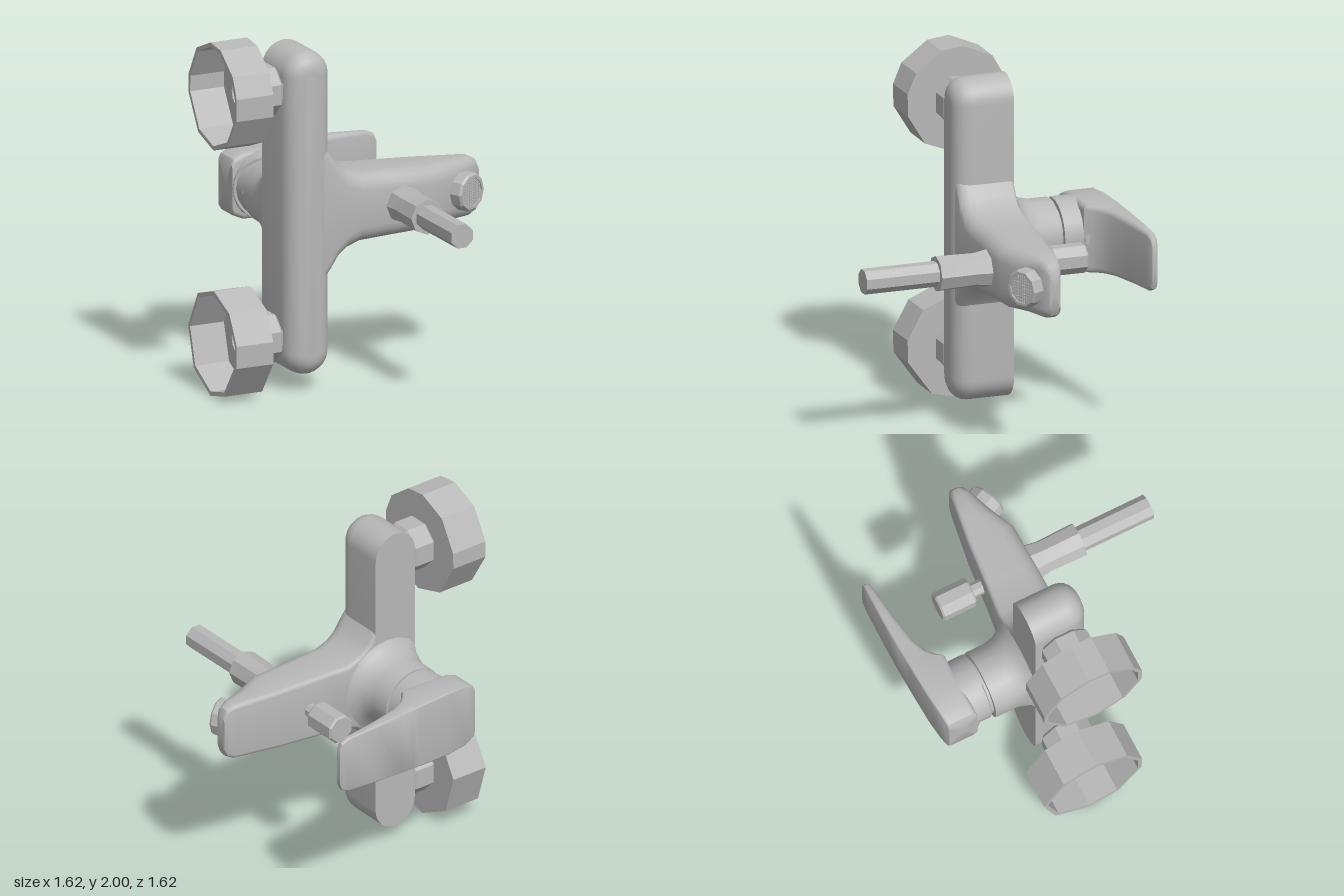
import * as THREE from 'three';
import { toCreasedNormals } from 'three/addons/utils/BufferGeometryUtils.js';

const chrome = new THREE.MeshStandardMaterial({ color: 0xb8b8b8 });
chrome.name = 'chrome';

function part(name, geo, crease = 0.6) {
  const m = new THREE.Mesh(toCreasedNormals(geo, crease), chrome);
  m.name = name;
  return m;
}

// Turned solid along z (or x): profile is [radius, position], ascending position
function turned(profile, sides, axis, phase = 0) {
  const g = new THREE.LatheGeometry(profile.map(([r, t]) => new THREE.Vector2(r, t)), sides, phase);
  return axis === 'x' ? g.rotateZ(-Math.PI / 2) : g.rotateX(Math.PI / 2);
}

// Moves every vertex by a rule
function warp(geo, rule) {
  const p = geo.attributes.position, v = new THREE.Vector3();
  for (let i = 0; i < p.count; i++) {
    rule(v.fromBufferAttribute(p, i));
    p.setXYZ(i, v.x, v.y, v.z);
  }
  return geo;
}

// Loft along x through rounded rectangles: [x, half height, back z, front z]
function loft(sections, rFront, rBack, yc = 1, steps = 4) {
  const pos = [], idx = [], n = 4 * (steps + 1);
  for (const [x, h, zb, zf] of sections) {
    const lim = Math.min(h, (zf - zb) / 2) * 0.95;
    for (let c = 0; c < 4; c++) {
      const front = c < 2, r = Math.min(lim, front ? rFront : rBack);
      const cy = (c === 0 || c === 3 ? 1 : -1) * (h - r);
      const cz = front ? zf - r : zb + r;
      for (let k = 0; k <= steps; k++) {
        const a = (c + k / steps) * Math.PI / 2;
        pos.push(x, yc + cy + r * Math.cos(a), cz + r * Math.sin(a));
      }
    }
  }
  const last = sections.length - 1;
  for (let s = 0; s < last; s++) {
    for (let i = 0; i < n; i++) {
      const a = s * n + i, b = s * n + (i + 1) % n;
      idx.push(a, b, b + n, a, b + n, a + n);
    }
  }
  // End caps
  for (const s of [0, last]) {
    const [x, , zb, zf] = sections[s], centre = pos.length / 3;
    pos.push(x, yc, (zb + zf) / 2);
    for (let i = 0; i < n; i++) {
      const a = s * n + i, b = s * n + (i + 1) % n;
      if (s === 0) idx.push(centre, b, a);
      else idx.push(centre, a, b);
    }
  }
  const g = new THREE.BufferGeometry();
  g.setAttribute('position', new THREE.Float32BufferAttribute(pos, 3));
  g.setIndex(idx);
  return g;
}

// Upright column with a rounded front and a flat back
function columnGeometry() {
  const s = new THREE.Shape(), r = 0.135, x = -0.295;
  s.absarc(x, 1.92 - r, r, 0, Math.PI, false);
  s.absarc(x, 0.09 + r, r, Math.PI, 2 * Math.PI, false);
  const g = new THREE.ExtrudeGeometry(s, {
    depth: 0.235, bevelThickness: 0.1, bevelSize: 0.1, bevelOffset: -0.1, bevelSegments: 5, curveSegments: 8,
  });
  return warp(g, v => { v.z = Math.max(v.z, 0) - 0.235; });
}

// Faceted cover cup, open towards the wall
function rosette(name, y, angles) {
  const ring = r => angles.map(a => {
    const t = a * Math.PI / 180;
    return new THREE.Vector2(-r * Math.cos(t), r * Math.sin(t));
  }).reverse();
  const slab = (r, hole, depth, x) => {
    const s = new THREE.Shape(ring(r));
    s.holes.push(new THREE.Path(ring(hole)));
    return new THREE.ExtrudeGeometry(s, { depth, bevelEnabled: false }).rotateY(Math.PI / 2).translate(x, 0, 0);
  };
  const g = new THREE.Group();
  g.name = name;
  g.add(part('coverWall', slab(0.302, 0.278, 0.205, -0.81), 0.3));
  g.add(part('coverPlate', slab(0.302, 0.08, 0.018, -0.605), 0.3));
  g.add(part('unionNut', turned([[0, -0.6], [0.13, -0.6], [0.147, -0.575], [0.147, -0.46], [0.125, -0.442], [0.1, -0.44], [0.1, -0.4], [0, -0.4]], 8, 'x', Math.PI / 8), 0.3));
  g.add(part('inletPipe', turned([[0.07, -0.6], [0.07, -0.66], [0.1, -0.66], [0.1, -0.6]], 12, 'x')));
  g.position.set(0, y, -0.075);
  return g;
}

// Aerator with a recessed outlet and a fine grille, pointing along z
function aerator() {
  const g = new THREE.Group();
  g.name = 'aerator';
  g.add(part('aeratorBody', turned([[0, -0.06], [0.108, -0.06], [0.108, 0.05], [0.098, 0.062], [0.082, 0.062], [0.082, 0.052], [0, 0.052]], 10, 'z', 0.3), 0.4));
  for (let i = -4; i <= 4; i++) {
    const d = i * 0.016, len = 2 * Math.sqrt(0.078 ** 2 - d * d);
    g.add(part('grilleBar', new THREE.BoxGeometry(len, 0.006, 0.006).translate(0, d, 0.054)));
    g.add(part('grilleBar', new THREE.BoxGeometry(0.006, len, 0.006).translate(d, 0, 0.054)));
  }
  g.position.set(0.677, 1, 0);
  g.rotation.y = Math.atan2(0.43, 0.9);
  return g;
}

export function createModel() {
  const model = new THREE.Group();
  model.name = 'bathMixer';
  model.add(part('column', columnGeometry()));

  // Spout flares out of the column and is cut obliquely at the tip
  model.add(part('spout', loft([
    [-0.27, 0.49, -0.234, 0.085], [-0.21, 0.41, -0.234, 0.088], [-0.16, 0.34, -0.235, 0.092],
    [-0.12, 0.275, -0.235, 0.095], [-0.06, 0.225, -0.235, 0.095], [0.02, 0.195, -0.235, 0.095],
    [0.2, 0.187, -0.215, 0.093], [0.46, 0.178, -0.19, 0.088], [0.6, 0.172, -0.17, 0.025],
    [0.74, 0.167, -0.15, -0.035], [0.785, 0.145, -0.142, -0.055], [0.806, 0.105, -0.135, -0.075],
  ], 0.09, 0.025)));
  model.add(aerator());

  // Cartridge housing flares into the back of the column
  const housing = turned([[0, -0.475], [0.193, -0.475], [0.195, -0.465], [0.195, -0.36], [0.21, -0.3], [0.24, -0.255], [0.29, -0.225], [0, -0.2]], 24, 'z').translate(-0.24, 1, 0);
  model.add(part('cartridgeHousing', warp(housing, v => { v.x = Math.max(v.x, -0.429); })));
  const collar = turned([[0, -0.65], [0.18, -0.65], [0.18, -0.497], [0.165, -0.49], [0.165, -0.46], [0, -0.46]], 20, 'z').translate(-0.24, 1, 0);
  model.add(part('handleCollar', collar));

  // Handle: round base with a slanted lower edge, and a long tapering lever
  const base = turned([[0, -0.755], [0.194, -0.755], [0.194, -0.49], [0, -0.49]], 24, 'z').translate(-0.24, 1, 0);
  model.add(part('handleBase', warp(base, v => {
    if (v.z > -0.6) v.z = Math.min(v.z, -0.49 + Math.min(0, v.x + 0.29) * 0.65);
  })));
  model.add(part('lever', loft([
    [-0.435, 0.135, -0.763, -0.59], [-0.42, 0.16, -0.768, -0.59], [-0.36, 0.187, -0.777, -0.595],
    [-0.24, 0.195, -0.79, -0.6], [-0.05, 0.192, -0.8, -0.6], [-0.025, 0.19, -0.801, -0.635],
    [0.02, 0.187, -0.803, -0.675], [0.1, 0.183, -0.807, -0.71], [0.28, 0.176, -0.81, -0.742],
    [0.47, 0.165, -0.809, -0.766], [0.515, 0.145, -0.808, -0.772], [0.53, 0.11, -0.806, -0.776],
  ], 0.03, 0.012)));
  const screw = part('handleScrewCap', turned([[0, -0.01], [0.03, -0.01], [0.03, 0.004], [0, 0.004]], 12, 'x'));
  screw.position.set(-0.036, 1, -0.63);
  model.add(screw);

  // Diverter knob behind the spout
  const knob = turned([[0, -0.48], [0.074, -0.48], [0.084, -0.47], [0.084, -0.285], [0.076, -0.275], [0.042, -0.275], [0.042, -0.15], [0, -0.15]], 8, 'z', Math.PI / 8);
  model.add(part('diverterKnob', knob.translate(0.267, 1, 0), 0.3));

  // Shower hose outlet in front of the spout
  const connector = turned([[0, 0.03], [0.106, 0.03], [0.106, 0.1], [0.094, 0.17], [0.1, 0.385], [0, 0.385]], 8, 'z');
  model.add(part('hoseConnector', connector.translate(0.268, 1, 0), 0.3));
  const hose = turned([[0, 0.37], [0.071, 0.37], [0.071, 0.81], [0, 0.81]], 8, 'z', Math.PI / 8);
  model.add(part('hoseEnd', hose.translate(0.267, 1, 0), 0.3));

  // Wall connections
  model.add(rosette('upperRosette', 1.7, [11, 35, 71, 95, 131, 170, 188, 234, 272, 310, 347]));
  model.add(rosette('lowerRosette', 0.302, [11, 47, 87, 127, 174, 220, 265, 301, 347]));
  return model;
}
